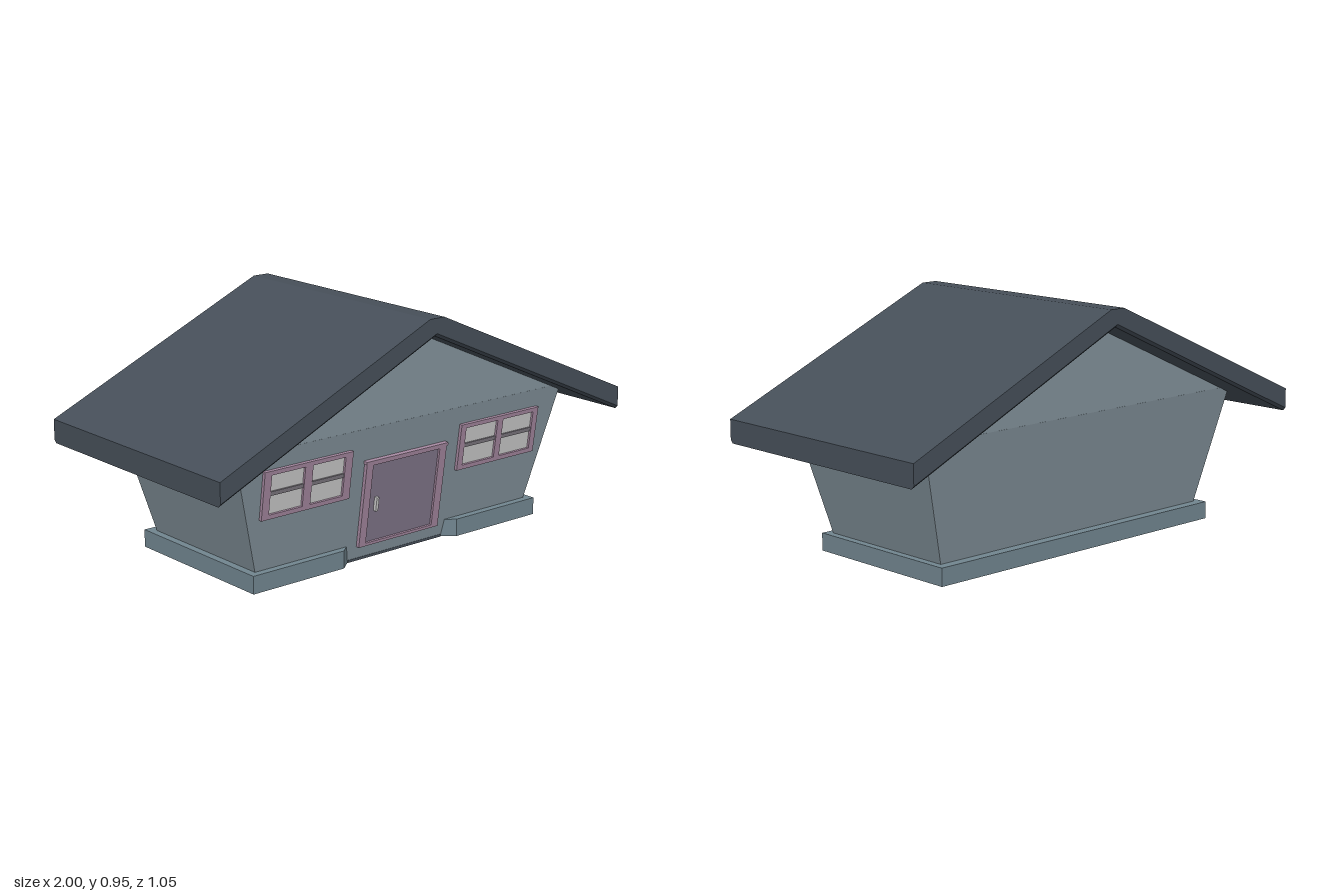
import * as THREE from 'three';

const paint = (color) => new THREE.MeshStandardMaterial({ color, flatShading: true });

const polygon = (points) => new THREE.Shape(points.map(([x, y]) => new THREE.Vector2(x, y)));

const rect = (x0, y0, x1, y1) => polygon([[x0, y0], [x1, y0], [x1, y1], [x0, y1]]);

const extrude = (shape, depth, steps = 1) =>
  new THREE.ExtrudeGeometry(shape, { depth, steps, bevelEnabled: false });

// Moves every vertex of a geometry by a rule
function reshape(geometry, rule) {
  const pos = geometry.attributes.position;
  const v = new THREE.Vector3();
  for (let i = 0; i < pos.count; i++) {
    rule(v.fromBufferAttribute(pos, i));
    pos.setXYZ(i, v.x, v.y, v.z);
  }
  geometry.computeVertexNormals();
  return geometry;
}

function add(parent, name, geometry, material) {
  const mesh = new THREE.Mesh(geometry, material);
  mesh.name = name;
  parent.add(mesh);
  return mesh;
}

// Flat panel from z0 to z1, given by its corners
function panel(parent, name, [x0, y0, x1, y1], z0, z1, material) {
  const mesh = add(parent, name, new THREE.BoxGeometry(x1 - x0, y1 - y0, z1 - z0), material);
  mesh.position.set((x0 + x1) / 2, (y0 + y1) / 2, (z0 + z1) / 2);
  return mesh;
}

// Frame with rectangular openings
function frame(parent, name, outer, openings, depth, material) {
  const shape = rect(...outer);
  shape.holes = openings.map((o) => rect(...o));
  return add(parent, name, extrude(shape, depth), material);
}

export function createModel() {
  const house = new THREE.Group();
  house.name = 'house';

  const wallPaint = paint(0x82919a);
  const basePaint = paint(0x71858f);
  const roofPaint = paint(0x464f59);
  const trimPaint = paint(0xa588a0);
  const doorPaint = paint(0x82778c);
  const barPaint = paint(0x7d7880);
  const palePaint = paint(0xcccccc);

  // Base slab, notched in front of the door
  const slab = polygon([
    [-0.72, 0.35], [-0.72, -0.34], [-0.29, -0.34], [-0.235, -0.296],
    [0.235, -0.296], [0.29, -0.34], [0.72, -0.34], [0.72, 0.35],
  ]);
  add(house, 'base', extrude(slab, 0.07).rotateX(-Math.PI / 2), basePaint);
  panel(house, 'doorStep', [-0.24, 0, 0.24, 0.01], 0.28, 0.303, roofPaint);

  // Walls leaning outward on all four sides
  const wallShape = polygon([[-0.673, 0.01], [0.673, 0.01], [0.82, 0.54], [-0.82, 0.54]]);
  const walls = reshape(extrude(wallShape, 1), (v) => {
    v.z = (v.z > 0.5 ? 1 : -1) * (0.3 + 0.14 * v.y);
  });
  add(house, 'walls', walls, wallPaint);

  // Upright gables
  const gable = extrude(polygon([[-0.82, 0.54], [0.82, 0.54], [0, 0.9]]), 0.75);
  add(house, 'gables', gable.translate(0, 0, -0.375), wallPaint);

  // Roof with a blunt ridge and the lower edges chamfered at both ends
  const roofShape = polygon([
    [1, 0.435], [1, 0.527], [0.035, 0.955], [-0.035, 0.955],
    [-1, 0.527], [-1, 0.435], [0, 0.885],
  ]);
  const stations = [-0.526, -0.514, 0.514, 0.526];
  const roof = reshape(extrude(roofShape, 3, 3), (v) => {
    const step = Math.round(v.z);
    const under = v.y < 0.895 - 0.45 * Math.abs(v.x);
    if (under && (step === 0 || step === 3)) v.y += 0.012;
    v.z = stations[step];
  });
  add(house, 'roof', roof, roofPaint);

  // Everything on the front wall shares its lean
  const front = new THREE.Group();
  front.name = 'frontFittings';
  front.position.z = 0.3;
  front.rotation.x = Math.atan(0.14);
  house.add(front);

  // Windows: frame, two panes each, one cross bar per pane
  const windows = [
    { name: 'rightWindow', x: [-0.69, -0.275], panes: [[-0.657, -0.502], [-0.465, -0.31]] },
    { name: 'leftWindow', x: [0.275, 0.695], panes: [[0.302, 0.472], [0.502, 0.668]] },
  ];
  for (const { name, x, panes } of windows) {
    const group = new THREE.Group();
    group.name = name;
    front.add(group);
    const openings = panes.map(([a, b]) => [a, 0.298, b, 0.455]);
    frame(group, 'windowFrame', [x[0], 0.28, x[1], 0.472], openings, 0.013, trimPaint);
    for (const [a, b] of panes) {
      panel(group, 'pane', [a, 0.298, b, 0.455], -0.005, 0.004, palePaint);
      panel(group, 'crossBar', [a, 0.372, b, 0.388], 0, 0.01, barPaint);
    }
  }

  // Door with frame, lintel and handle
  const door = new THREE.Group();
  door.name = 'door';
  front.add(door);
  frame(door, 'doorFrame', [-0.203, 0.06, 0.203, 0.405], [[-0.17, 0.072, 0.168, 0.395]], 0.015, trimPaint);
  panel(door, 'lintel', [-0.207, 0.403, 0.207, 0.415], 0, 0.018, trimPaint);
  panel(door, 'doorLeaf', [-0.17, 0.072, 0.168, 0.395], -0.005, 0.006, doorPaint);
  panel(door, 'handle', [-0.14, 0.2, -0.128, 0.256], 0.004, 0.02, palePaint);

  return house;
}
